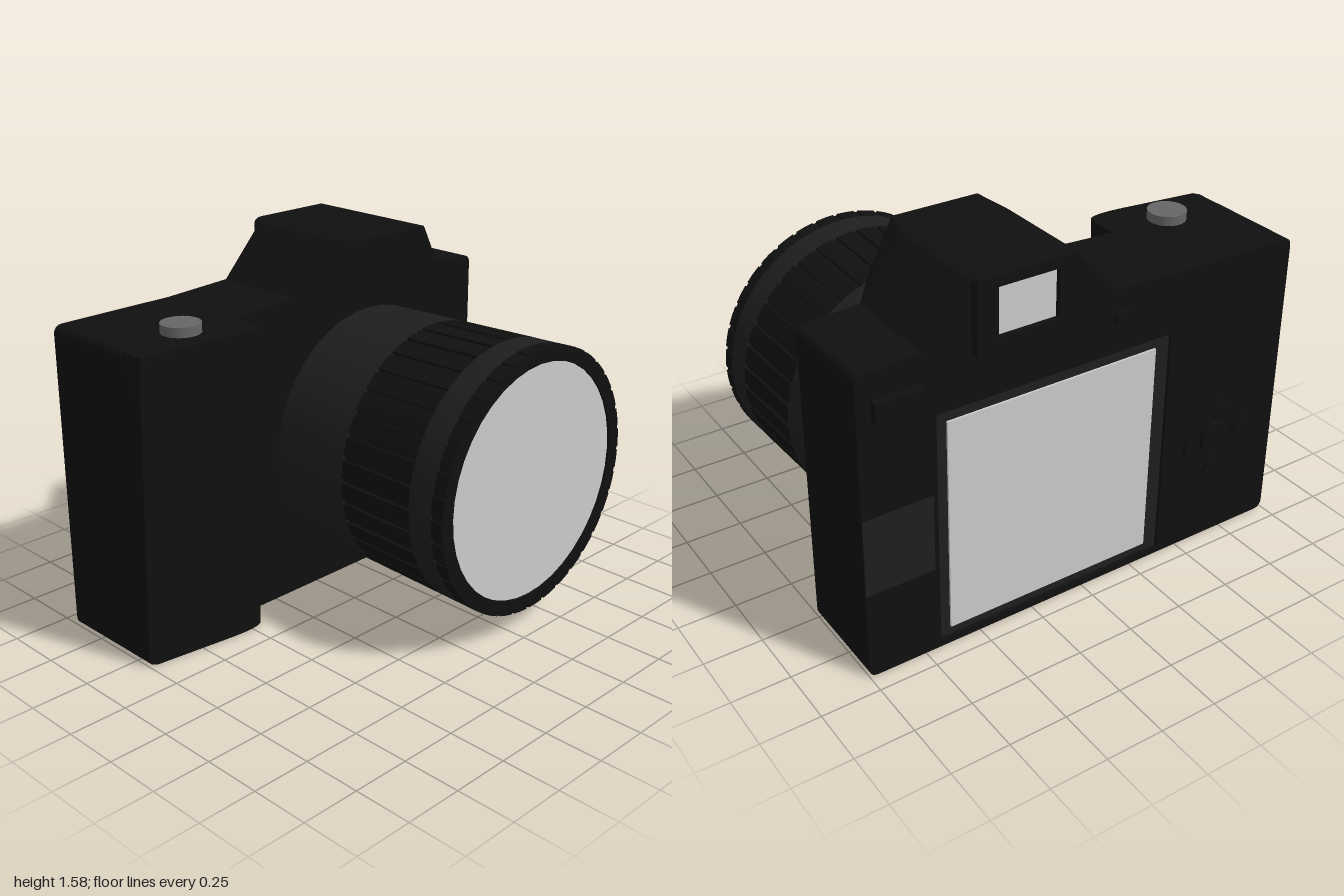
import * as THREE from 'three';
import { toCreasedNormals } from 'three/addons/utils/BufferGeometryUtils.js';
import { ConvexGeometry } from 'three/addons/geometries/ConvexGeometry.js';

const paint = (color) => new THREE.MeshStandardMaterial({ color });
const black = paint(0x101010);
const charcoal = paint(0x1e1e1e);
const metal = paint(0x666666);
const grey = paint(0xcccccc);

const LENS_X = 0.33, LENS_Y = 0.67;
const lensRadius = (z) => 0.546 + (z + 0.24) * 0.029;

export function createModel() {
  const model = new THREE.Group();
  const add = (name, geometry, material, x = 0, y = 0, z = 0) => {
    const mesh = new THREE.Mesh(geometry, material);
    mesh.name = name;
    mesh.position.set(x, y, z);
    model.add(mesh);
    return mesh;
  };
  const box = (name, material, x0, x1, y0, y1, z0, z1) =>
    add(name, new THREE.BoxGeometry(x1 - x0, y1 - y0, z1 - z0), material,
      (x0 + x1) / 2, (y0 + y1) / 2, (z0 + z1) / 2);
  const rectHole = (x0, x1, y0, y1) => new THREE.Path([[x0, y0], [x0, y1], [x1, y1], [x1, y0]]
    .map(([x, y]) => new THREE.Vector2(x, y)));
  const slab = (shape, z0, z1) => toCreasedNormals(
    new THREE.ExtrudeGeometry(shape, { depth: z1 - z0, bevelEnabled: false, curveSegments: 5 })
      .translate(0, 0, z0), 0.6);

  // Body: rounded outline whose top rises slightly towards the prism hump
  const bodyOutline = () => new THREE.Shape()
    .moveTo(-0.96, 0).lineTo(0.96, 0).quadraticCurveTo(1, 0, 1, 0.04)
    .lineTo(1, 1.29).quadraticCurveTo(1, 1.33, 0.96, 1.33)
    .lineTo(0.73, 1.345).lineTo(-0.12, 1.345).lineTo(-0.43, 1.33).lineTo(-0.96, 1.33)
    .quadraticCurveTo(-1, 1.33, -1, 1.29).lineTo(-1, 0.04).quadraticCurveTo(-1, 0, -0.96, 0);
  add('body', slab(bodyOutline(), -0.64, -0.24), black);
  const back = bodyOutline();
  back.holes.push(rectHole(-0.4, 0.68, 0.03, 1.07));
  add('backPlate', slab(back, -0.67, -0.64), black);

  // Screen sunk in the back plate
  box('screenFrame', charcoal, -0.4, 0.68, 0.03, 1.07, -0.655, -0.635);
  box('screen', grey, -0.33, 0.63, 0.07, 1.02, -0.664, -0.65);
  box('portDoor', charcoal, 0.7, 0.998, 0.39, 0.73, -0.672, -0.66);

  // Hand grip: plan shape extruded upwards, leaning back towards the base
  const plan = new THREE.Shape()
    .moveTo(-1, 0.3).lineTo(-1, 0.12).lineTo(-0.96, 0.115).lineTo(-0.6, 0.069)
    .quadraticCurveTo(-0.43, 0.05, -0.43, 0.1).lineTo(-0.43, 0.3);
  const levels = [0, 0.01, 0.04, 1.29, 1.32, 1.33];
  const edge = [-0.96, -0.99, -1, -1, -0.99, -0.96];
  const grip = new THREE.ExtrudeGeometry(plan, { depth: 5, steps: 5, bevelEnabled: false, curveSegments: 8 })
    .rotateX(-Math.PI / 2);
  const p = grip.attributes.position;
  for (let i = 0; i < p.count; i++) {
    const k = Math.round(p.getY(i)), y = levels[k], z = p.getZ(i);
    const lean = z > -0.24 ? 0.05 * (1 - y / 1.33) : 0;
    p.setXYZ(i, Math.max(p.getX(i), edge[k]), y, z - lean);
  }
  add('grip', toCreasedNormals(grip, 0.6), black);
  add('shutterButton', toCreasedNormals(new THREE.CylinderGeometry(0.082, 0.082, 0.05, 32), 0.6),
    metal, -0.7, 1.345, -0.25);

  // Prism hump overhanging the lens, mirrored about x = 0.31
  const corners = [];
  for (const s of [-1, 1]) {
    for (const [dx, y, z] of [
      [0.425, 1.345, -0.67], [0.425, 1.345, -0.24], [0.305, 1.35, -0.08],
      [0.225, 1.56, -0.67], [0.225, 1.56, -0.24], [0.2, 1.56, -0.08],
      [0.19, 1.575, -0.67], [0.19, 1.575, -0.08],
    ]) corners.push(new THREE.Vector3(0.31 + s * dx, y, z));
  }
  add('prismHump', new ConvexGeometry(corners), black);

  // Viewfinder eyepiece with a sunk window
  const eyepiece = new THREE.Shape()
    .moveTo(0.09, 1.27).lineTo(0.53, 1.27).lineTo(0.53, 1.54)
    .quadraticCurveTo(0.53, 1.575, 0.49, 1.575).lineTo(0.13, 1.575)
    .quadraticCurveTo(0.09, 1.575, 0.09, 1.54).lineTo(0.09, 1.27);
  eyepiece.holes.push(rectHole(0.18, 0.44, 1.33, 1.53));
  add('eyepiece', slab(eyepiece, -0.71, -0.66), black);
  box('eyepieceWindow', grey, 0.18, 0.44, 1.33, 1.53, -0.69, -0.66);

  // Rear controls
  box('rearSwitch', black, 0.74, 0.94, 1.14, 1.22, -0.703, -0.66);
  const knob = (name, x, y, r, z) => {
    const g = new THREE.CylinderGeometry(r, r, 0.05, 20).rotateX(Math.PI / 2);
    add(name, toCreasedNormals(g, 0.6), black, x, y, z + 0.025);
  };
  knob('rearButton', -0.14, 1.22, 0.037, -0.69);
  knob('padCentre', -0.667, 0.5, 0.072, -0.693);
  for (let i = 0; i < 4; i++) {
    const key = new THREE.CylinderGeometry(0.055, 0.055, 0.04, 3).rotateX(Math.PI / 2).scale(1, 0.85, 1);
    const a = i * Math.PI / 2;
    const mesh = add('padArrow', key.toNonIndexed(), black,
      -0.667 - 0.135 * Math.sin(a), 0.5 + 0.135 * Math.cos(a), -0.668);
    mesh.rotation.z = a;
  }

  // Lens: smooth barrel sections and ribbed rings, all flaring forwards
  const barrel = (name, z0, z1, material) => {
    const g = new THREE.CylinderGeometry(lensRadius(z1), lensRadius(z0), z1 - z0, 40).rotateX(Math.PI / 2);
    add(name, toCreasedNormals(g, 0.6), material, LENS_X, LENS_Y, (z0 + z1) / 2);
  };
  const ribbedRing = (name, z0, z1, ribs, depth, inner) => {
    const pts = [];
    for (let i = 0; i < ribs; i++) {
      for (const [t, r] of [[0, 1], [0.4, 1], [0.8, 1], [0.83, 1 - depth], [0.97, 1 - depth]]) {
        const a = (i + t) / ribs * Math.PI * 2;
        pts.push(new THREE.Vector2(r * Math.cos(a), r * Math.sin(a)));
      }
    }
    const ring = new THREE.Shape(pts);
    ring.holes.push(new THREE.Path().absarc(0, 0, inner / lensRadius(z1), 0, Math.PI * 2, true));
    const g = new THREE.ExtrudeGeometry(ring, { depth: z1 - z0, bevelEnabled: false, curveSegments: 20 });
    const q = g.attributes.position;
    for (let i = 0; i < q.count; i++) {
      const r = lensRadius(z0 + q.getZ(i));
      q.setXY(i, q.getX(i) * r, q.getY(i) * r);
    }
    add(name, toCreasedNormals(g, 0.4), black, LENS_X, LENS_Y, z0);
  };
  barrel('lensBase', -0.24, 0.15, charcoal);
  ribbedRing('zoomRing', 0.15, 0.53, 36, 0.02, 0.4);
  barrel('lensBand', 0.53, 0.65, charcoal);
  ribbedRing('frontRing', 0.65, 0.71, 36, 0.012, 0.51);
  add('lensGlass', toCreasedNormals(new THREE.CylinderGeometry(0.512, 0.512, 0.06, 40).rotateX(Math.PI / 2), 0.6),
    grey, LENS_X, LENS_Y, 0.67);

  return model;
}
